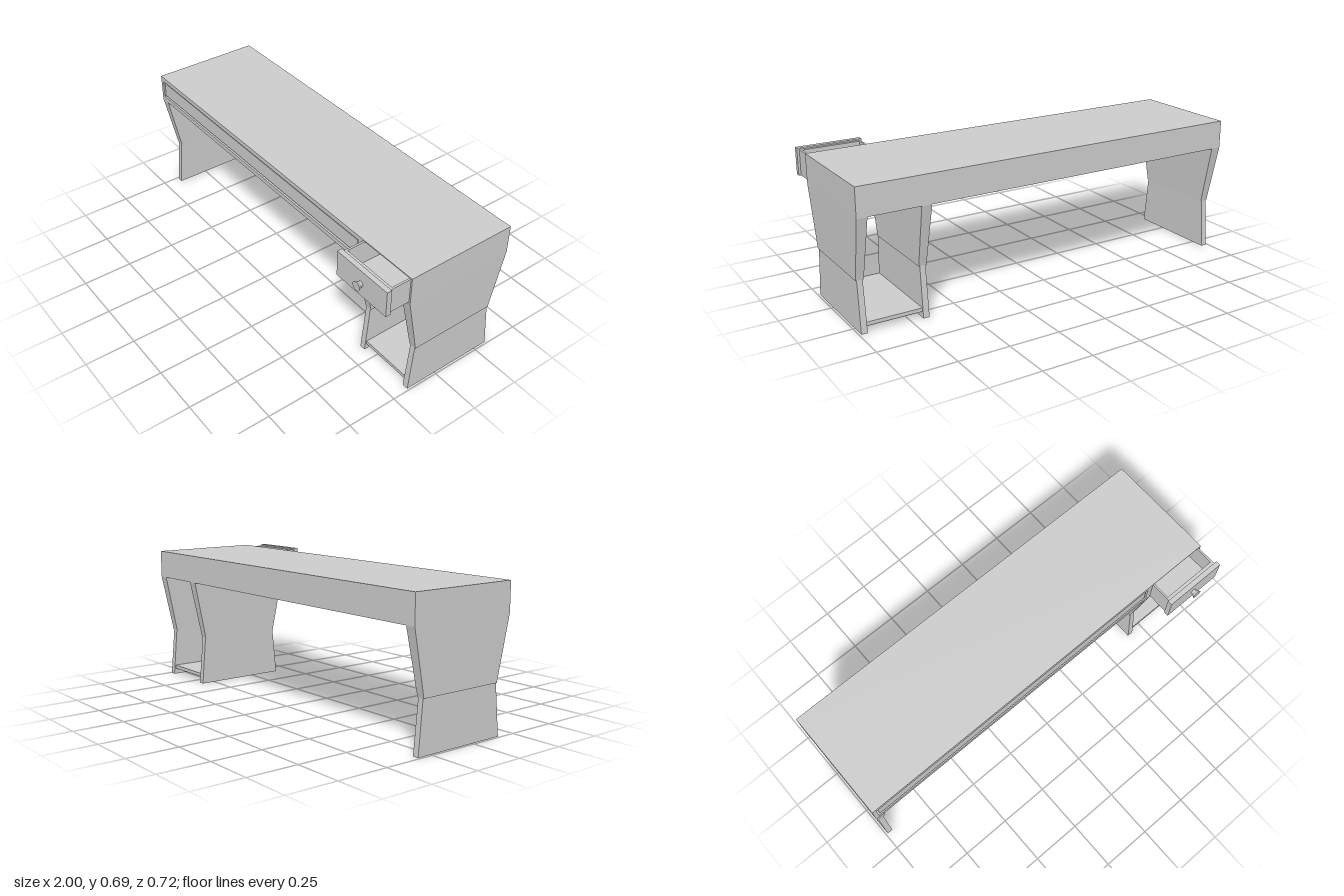
import * as THREE from 'three';

const grey = new THREE.MeshStandardMaterial({ color: 0xcccccc, flatShading: true });

function add(group, name, geometry) {
  const mesh = new THREE.Mesh(geometry, grey);
  mesh.name = name;
  group.add(mesh);
  return mesh;
}

// Box given by its lower and upper limits on each axis
function box(group, name, [x0, x1], [y0, y1], [z0, z1]) {
  const mesh = add(group, name, new THREE.BoxGeometry(x1 - x0, y1 - y0, z1 - z0));
  mesh.position.set((x0 + x1) / 2, (y0 + y1) / 2, (z0 + z1) / 2);
  return mesh;
}

function rectangle(Type, x0, x1, y0, y1) {
  return new Type([[x0, y0], [x1, y0], [x1, y1], [x0, y1]].map(([x, y]) => new THREE.Vector2(x, y)));
}

// Slab whose half thickness and depth change between bottom and top
function taperedSlab(x, bottom, top) {
  const geometry = new THREE.BoxGeometry(1, 1, 1);
  const p = geometry.attributes.position;
  for (let i = 0; i < p.count; i++) {
    const end = p.getY(i) > 0 ? top : bottom;
    p.setXYZ(i, x + Math.sign(p.getX(i)) * end.half, end.y, p.getZ(i) > 0 ? end.front : end.back);
  }
  geometry.computeVertexNormals();
  return geometry;
}

export function createModel() {
  const desk = new THREE.Group();
  desk.name = 'desk';
  const front = 0.203, back = -0.36, bottom = 0.547, top = 0.687;

  // Desk body with openings for the long panel and the small drawer
  const bodyShape = rectangle(THREE.Shape, -1, 1, bottom, top);
  bodyShape.holes.push(
    rectangle(THREE.Path, -0.98, 0.655, 0.571, 0.663),
    rectangle(THREE.Path, 0.684, 0.992, 0.551, 0.681)
  );
  const backThickness = 0.03;
  const body = add(desk, 'deskBody', new THREE.ExtrudeGeometry(bodyShape, {
    depth: front - back - backThickness, bevelEnabled: false
  }));
  body.position.z = back + backThickness;
  box(desk, 'backPanel', [-1, 1], [bottom, top], [back, back + backThickness]);
  box(desk, 'longFrontPanel', [-0.972, 0.647], [0.579, 0.655], [back + 0.02, front - 0.004]);

  // Leg panels: wide upper slab over a slimmer lower slab
  for (const [name, x] of [['rightLeg', -0.975], ['middleLeg', 0.675], ['leftLeg', 0.975]]) {
    const leg = new THREE.Group();
    leg.name = name;
    add(leg, 'upperLeg', taperedSlab(x,
      { y: 0.245, half: 0.019, front: 0.14, back: -0.297 },
      { y: bottom, half: 0.025, front, back }));
    add(leg, 'lowerLeg', taperedSlab(x,
      { y: 0, half: 0.015, front: 0.163, back: -0.32 },
      { y: 0.245, half: 0.014, front: 0.14, back: -0.297 }));
    desk.add(leg);
  }

  // Low shelf between the two left legs
  box(desk, 'shelf', [0.685, 0.965], [0.03, 0.048], [-0.31, 0.152]);

  // Open drawer
  const drawer = new THREE.Group();
  drawer.name = 'drawer';
  const dx = [0.687, 0.989], dy = [0.553, 0.678], dz = [-0.2, 0.31], wall = 0.01;
  box(drawer, 'drawerFront', [0.68, 1], [0.553, 0.685], [0.31, 0.335]);
  box(drawer, 'drawerBottom', dx, [dy[0], dy[0] + wall], dz);
  box(drawer, 'drawerSide', [dx[0], dx[0] + wall], dy, dz);
  box(drawer, 'drawerSide', [dx[1] - wall, dx[1]], dy, dz);
  box(drawer, 'drawerInnerFront', dx, dy, [0.293, dz[1]]);
  box(drawer, 'drawerBack', dx, dy, [dz[0], dz[0] + wall]);

  // Flared knob
  const profile = [[0, 0], [0.014, 0], [0.014, 0.009], [0.023, 0.025], [0, 0.025]]
    .map(([r, h]) => new THREE.Vector2(r, h));
  const knob = add(drawer, 'drawerKnob', new THREE.LatheGeometry(profile, 20));
  knob.rotation.x = Math.PI / 2;
  knob.position.set(0.838, 0.616, 0.335);
  desk.add(drawer);

  return desk;
}
